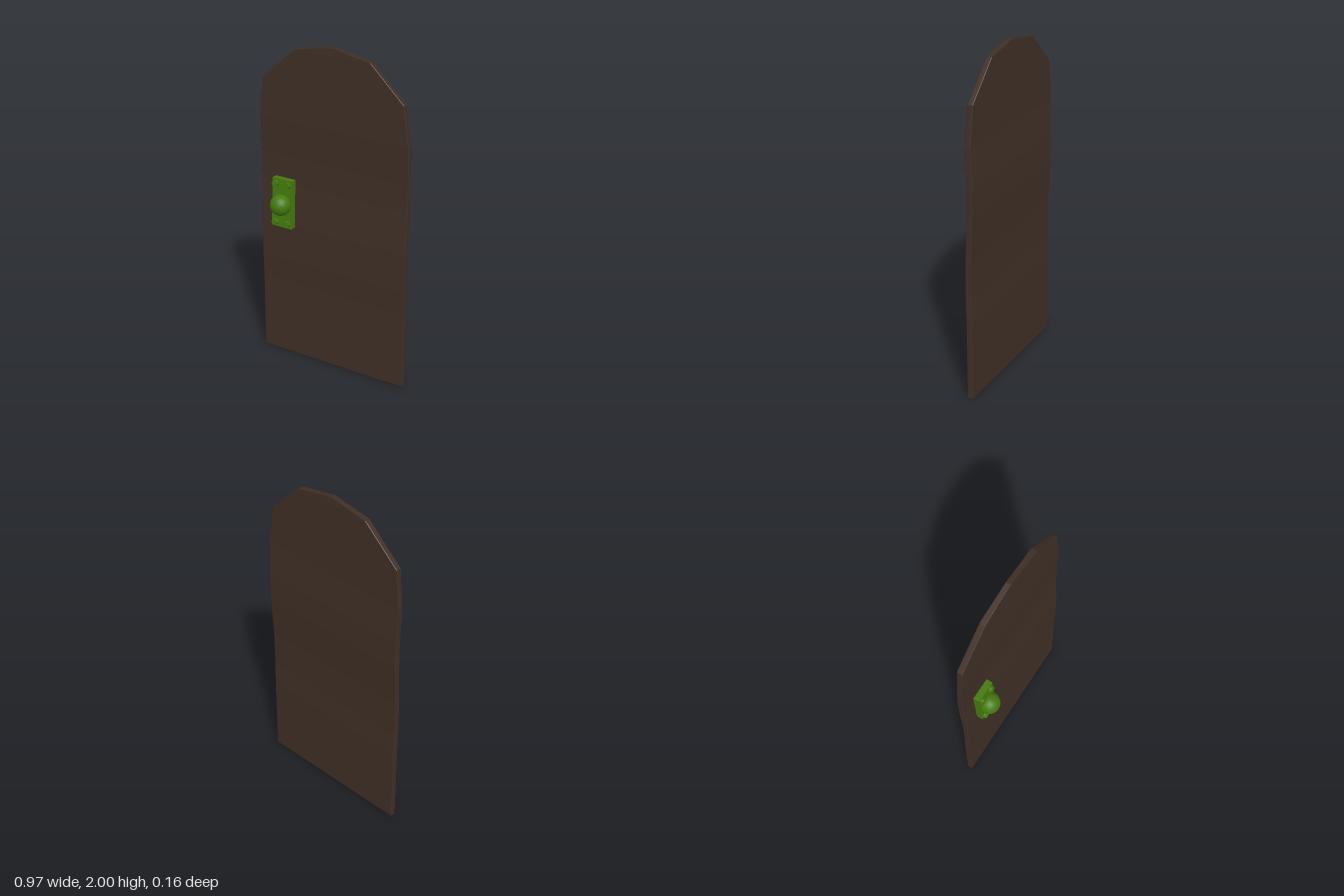
import * as THREE from 'three';

// Loft a bevelled flat slab through rows of [y, left x, right x, centre z, half thickness]
function loftSlab(rows, bevel) {
  const rings = rows.map(([y, x0, x1, z, h]) => {
    const b = Math.min(bevel, (x1 - x0) / 4);
    return [
      [x0 + b, z + h], [x1 - b, z + h], [x1, z + h - b], [x1, z - h + b],
      [x1 - b, z - h], [x0 + b, z - h], [x0, z - h + b], [x0, z + h - b],
    ].map(([x, zz]) => [x, y, zz]);
  });
  const pos = [];
  const tri = (a, b, c) => pos.push(...a, ...b, ...c);
  for (let i = 0; i < rings.length - 1; i++) {
    const lo = rings[i], hi = rings[i + 1];
    for (let j = 0; j < 8; j++) {
      const k = (j + 1) % 8;
      tri(lo[j], lo[k], hi[k]);
      tri(lo[j], hi[k], hi[j]);
    }
  }
  // End caps
  const first = rings[0], last = rings[rings.length - 1];
  for (let j = 1; j < 7; j++) {
    tri(first[0], first[j + 1], first[j]);
    tri(last[0], last[j], last[j + 1]);
  }
  const geo = new THREE.BufferGeometry();
  geo.setAttribute('position', new THREE.Float32BufferAttribute(pos, 3));
  geo.computeVertexNormals();
  return geo;
}

export function createModel() {
  const model = new THREE.Group();
  model.name = 'door';

  const wood = new THREE.MeshStandardMaterial({ color: 0x3f2f25 });
  wood.name = 'dark wood';
  const green = new THREE.MeshStandardMaterial({ color: 0x447a0d });
  green.name = 'green metal';

  const add = (parent, name, geo, mat, x = 0, y = 0, z = 0) => {
    const mesh = new THREE.Mesh(geo, mat);
    mesh.name = name;
    mesh.position.set(x, y, z);
    parent.add(mesh);
    return mesh;
  };

  // Door leaf: gently warped slab with a faceted arched top
  const w = 0.484, t = 0.017;
  const rows = [
    [0, -w + 0.004, w - 0.004, -0.054, 0.013],
    [0.006, -w, w, -0.054, t],
    [0.49, -w, w, -0.053, t],
    [0.64, -w, w, -0.049, t],
    [0.87, -w, w, -0.05, t],
    [1.13, -w, w, -0.062, t],
    [1.3, -w, w, -0.063, t],
    [1.52, -w, w, -0.055, t],
    [1.755, -0.463, 0.449, -0.054, t],
    [1.957, -0.243, 0.24, -0.054, t],
    [2, -0.003, 0.003, -0.054, 0.014],
  ];
  add(model, 'doorLeaf', loftSlab(rows, 0.004), wood);

  // Handle set, tilted to follow the warp
  const handle = new THREE.Group();
  handle.name = 'handle';
  handle.position.set(-0.319, 1.018, 0);
  handle.rotation.x = -0.045;
  model.add(handle);

  add(handle, 'backPlate', new THREE.BoxGeometry(0.135, 0.3, 0.038), green, 0, 0, -0.019);
  add(handle, 'knob', new THREE.SphereGeometry(0.064, 28, 18), green, 0, -0.005, 0.013);

  // Corner bolts
  const boltGeo = new THREE.CylinderGeometry(0.019, 0.019, 0.026, 8).rotateX(Math.PI / 2).toNonIndexed();
  boltGeo.computeVertexNormals();
  for (const sx of [-1, 1]) {
    for (const sy of [-1, 1]) {
      add(handle, 'bolt', boltGeo, green, sx * 0.041, sy * 0.121, 0.006);
    }
  }
  return model;
}
